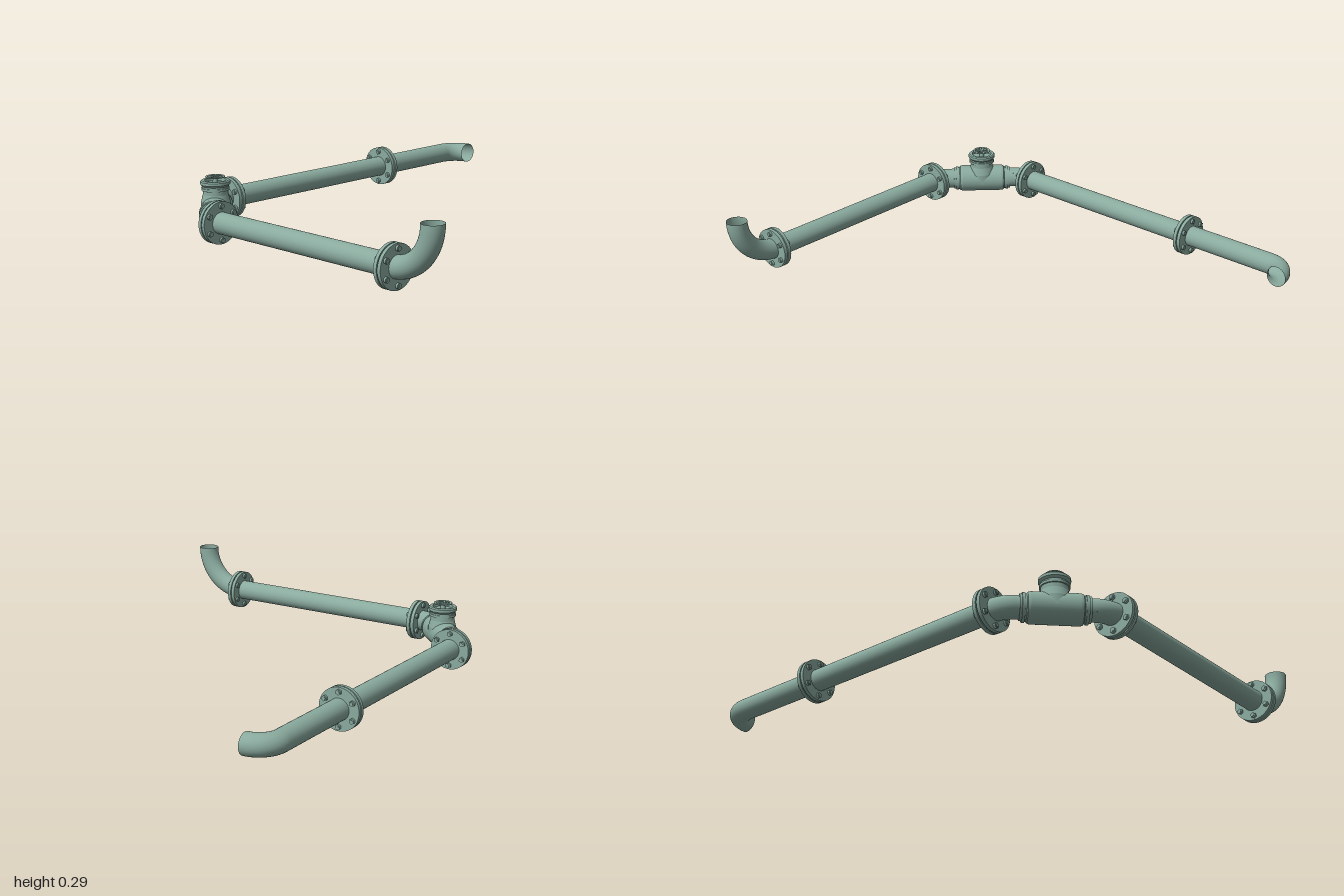
import * as THREE from 'three';

const R = 0.047;   // pipe radius
const Y = 0.093;   // pipe axis height
const X0 = -0.909; // axis of the pipe along z
const Z0 = -0.763; // axis of the pipe along x

const material = new THREE.MeshStandardMaterial({ color: 0x8aaa9e, side: THREE.DoubleSide });
const v = (x, y, z) => new THREE.Vector3(x, y, z);

function add(parent, name, geometry, x = 0, y = 0, z = 0) {
  const mesh = new THREE.Mesh(geometry, material);
  mesh.name = name;
  mesh.position.set(x, y, z);
  parent.add(mesh);
  return mesh;
}

// Straight open pipe between two points
function pipe(parent, name, a, b) {
  add(parent, name, new THREE.TubeGeometry(new THREE.LineCurve3(a, b), 1, R, 32));
}

// Round bend from a to b, tangent to the legs meeting at corner
function bend(parent, name, a, corner, b, angle) {
  const k = (4 / 3) * Math.tan(angle / 4) / Math.tan(angle / 2);
  const curve = new THREE.CubicBezierCurve3(a, a.clone().lerp(corner, k), b.clone().lerp(corner, k), b);
  add(parent, name, new THREE.TubeGeometry(curve, 20, R, 32));
}

// Lathe with sharp edges: each profile segment gets its own normals
function turned(points) {
  const profile = [];
  points.forEach(([r, h], i) => {
    const p = new THREE.Vector2(r, h);
    profile.push(p);
    if (i > 0 && i < points.length - 1) {
      const [r1, h1] = points[i + 1];
      profile.push(p.clone().lerp(new THREE.Vector2(r1, h1), 0.01));
    }
  });
  return new THREE.LatheGeometry(profile, 40);
}

// Pair of bolted discs, axis along local z
function flange(parent, x, z, alongX) {
  const group = new THREE.Group();
  group.name = 'flange';
  const shape = new THREE.Shape().absarc(0, 0, 0.092, 0, Math.PI * 2);
  shape.holes.push(new THREE.Path().absarc(0, 0, R - 0.001, 0, Math.PI * 2, true));
  for (const s of [-1, 1]) {
    const disc = new THREE.ExtrudeGeometry(shape, { depth: 0.016, bevelEnabled: false, curveSegments: 40 });
    disc.translate(0, 0, -0.008);
    add(group, 'flangeDisc', disc, 0, 0, s * 0.0105);
  }
  const gasket = new THREE.CylinderGeometry(0.084, 0.084, 0.006, 40, 1, true).rotateX(Math.PI / 2);
  add(group, 'gasket', gasket);
  for (let i = 0; i < 6; i++) {
    const a = Math.PI / 2 + (i * Math.PI) / 3;
    const bx = Math.cos(a) * 0.073, by = Math.sin(a) * 0.073;
    const shank = new THREE.CylinderGeometry(0.007, 0.007, 0.062, 10).rotateX(Math.PI / 2);
    add(group, 'boltShank', shank, bx, by, 0);
    for (const s of [-1, 1]) {
      const head = new THREE.CylinderGeometry(0.0125, 0.0125, 0.01, 6).rotateX(Math.PI / 2);
      add(group, 'boltHead', head, bx, by, s * 0.0235);
    }
  }
  group.position.set(x, Y, z);
  if (alongX) group.rotation.y = Math.PI / 2;
  parent.add(group);
}

// Valve with its run along local x and bonnet up
function valve(parent) {
  const group = new THREE.Group();
  group.name = 'valve';
  const half = [[0.064, 0.098], [0.061, 0.108], [0.055, 0.112], [0.055, 0.118],
    [0.059, 0.118], [0.059, 0.13], [0.053, 0.13], [0.053, 0.14], [R, 0.14]];
  const profile = [...half.map(([r, h]) => [r, -h]).reverse(), ...half];
  add(group, 'valveBody', turned(profile).rotateZ(-Math.PI / 2));
  add(group, 'bonnet', turned([[0.064, -0.01], [0.064, 0.035], [0.055, 0.07], [0.055, 0.088],
    [0.061, 0.088], [0.061, 0.099], [0.057, 0.099], [0.057, 0.106], [0.061, 0.11],
    [0.065, 0.115], [0.065, 0.127], [0.06, 0.132], [0.047, 0.132], [0.047, 0.118], [0, 0.118]]));
  add(group, 'stem', new THREE.CylinderGeometry(0.009, 0.012, 0.03, 16), 0, 0.131, 0);

  // Handwheel
  const wheel = new THREE.Group();
  wheel.name = 'handwheel';
  wheel.position.y = 0.146;
  const rim = new THREE.TorusGeometry(0.037, 0.006, 8, 36).rotateX(Math.PI / 2).scale(1, 0.6, 1);
  add(wheel, 'wheelRim', rim);
  add(wheel, 'wheelHub', new THREE.CylinderGeometry(0.012, 0.012, 0.008, 16));
  for (let i = 0; i < 5; i++) {
    const spoke = new THREE.BoxGeometry(0.03, 0.005, 0.008).translate(0.021, 0, 0);
    add(wheel, 'wheelSpoke', spoke).rotation.y = (i * Math.PI * 2) / 5;
  }
  group.add(wheel);
  group.position.set(-0.762, Y, -0.617);
  group.rotation.y = Math.PI / 4;
  parent.add(group);
}

export function createModel() {
  const model = new THREE.Group();
  model.name = 'pipeline';
  const d = 0.05, e = d * Math.SQRT1_2; // tangent length of the 45 degree bends

  // Run along z with an upturned end
  bend(model, 'upturnedElbow', v(X0, Y, 0.608), v(X0, Y, 0.808), v(X0, 0.293, 0.808), Math.PI / 2);
  pipe(model, 'sidePipe', v(X0, Y, 0.608), v(X0, Y, -0.42));

  // Diagonal corner with the valve
  const c1 = v(X0, Y, -0.47), c2 = v(-0.615, Y, Z0);
  const p1 = v(c1.x + e, Y, c1.z - e), p2 = v(c2.x - e, Y, c2.z + e);
  bend(model, 'frontCornerBend', v(X0, Y, -0.42), c1, p1, Math.PI / 4);
  pipe(model, 'diagonalPipe', p1, p2);
  bend(model, 'backCornerBend', p2, c2, v(-0.565, Y, Z0), Math.PI / 4);
  valve(model);

  // Run along x with an end turned to the front
  pipe(model, 'backPipe', v(-0.565, Y, Z0), v(0.858, Y, Z0));
  bend(model, 'forwardElbow', v(0.858, Y, Z0), v(0.953, Y, Z0), v(0.953, Y, -0.668), Math.PI / 2);

  for (const z of [0.608, -0.42]) flange(model, X0, z, false);
  for (const x of [-0.565, 0.411]) flange(model, x, Z0, true);
  return model;
}
